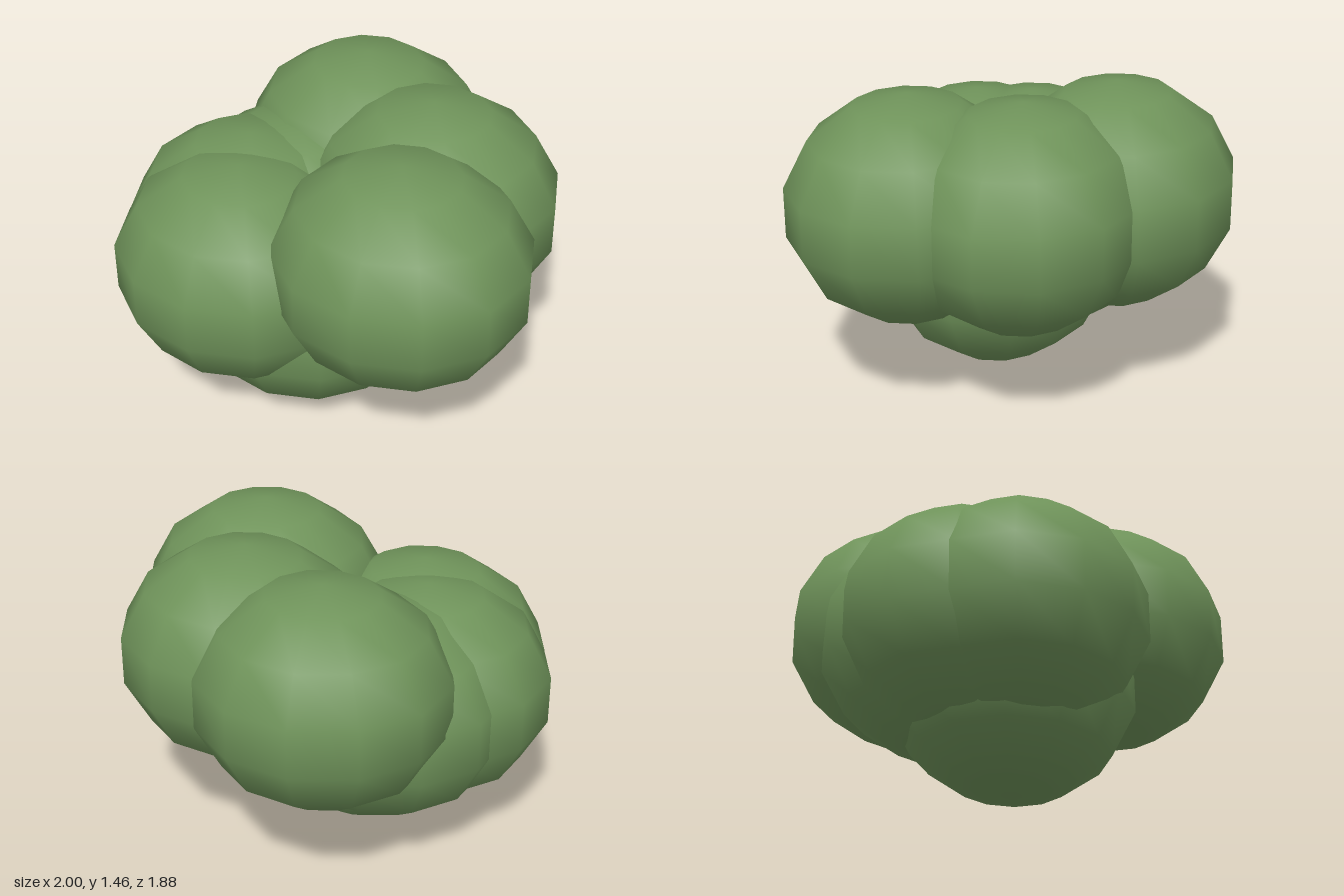
import * as THREE from 'three';

export function createModel() {
  const group = new THREE.Group();
  group.name = 'bush';

  const leafGreen = new THREE.MeshStandardMaterial({ color: 0x6f935a });
  leafGreen.name = 'leaf green';

  // one squashed leaf clump shared by the whole bush
  const clump = new THREE.SphereGeometry(1, 12, 7);
  clump.scale(0.595, 0.52, 0.555);

  const clumps = [
    ['bottomClump', -0.13, 0.525, 0.195],
    ['frontRightClump', -0.35, 0.73, 0.39],
    ['rightClump', -0.42, 0.73, 0.14],
    ['backRightClump', -0.27, 0.73, -0.07],
    ['frontLeftClump', 0.42, 0.94, 0.395],
    ['backLeftClump', 0.355, 0.94, -0.12],
    ['backClump', -0.08, 0.94, -0.4],
  ];
  for (const [name, x, y, z] of clumps) {
    const mesh = new THREE.Mesh(clump, leafGreen);
    mesh.name = name;
    mesh.position.set(x, y, z);
    group.add(mesh);
  }
  return group;
}
